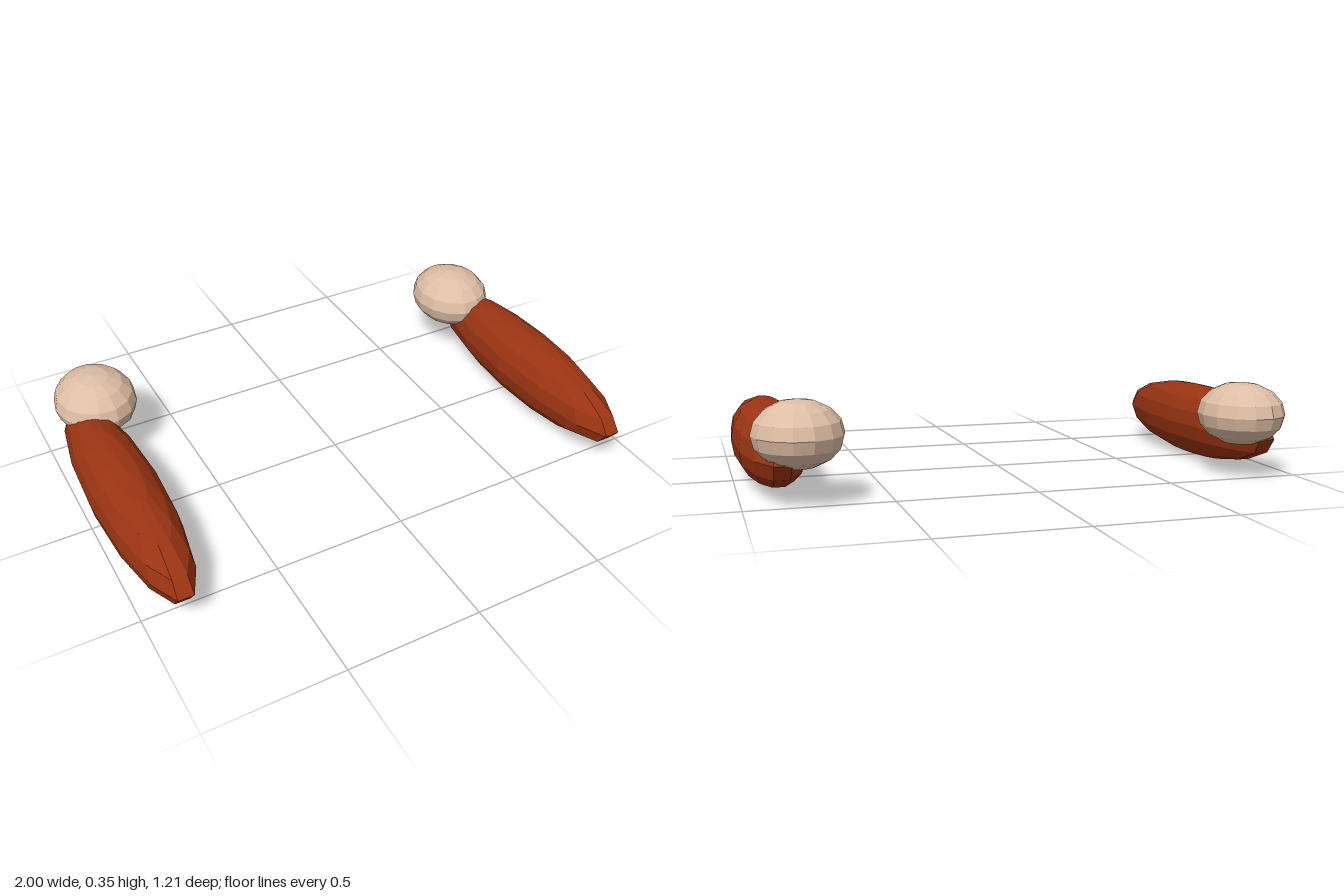
import * as THREE from 'three';

const brown = new THREE.MeshStandardMaterial({ color: 0x9a3412, flatShading: true });
brown.name = 'rust brown';
const skin = new THREE.MeshStandardMaterial({ color: 0xdebea5, flatShading: true });
skin.name = 'pale skin';

// Low-poly ellipsoid with the given radii and centre
function ellipsoid(name, material, radii, centre) {
  const geometry = new THREE.SphereGeometry(1, 14, 8);
  geometry.scale(...radii);
  const mesh = new THREE.Mesh(geometry, material);
  mesh.name = name;
  mesh.position.set(...centre);
  return mesh;
}

export function createModel() {
  const model = new THREE.Group();
  model.name = 'pairOfShoes';

  for (const [side, s] of [['left', 1], ['right', -1]]) {
    const foot = new THREE.Group();
    foot.name = side + 'Foot';
    // Long shoe, lying along z
    foot.add(ellipsoid(side + 'Shoe', brown, [0.13, 0.143, 0.58], [s * 0.87, 0.146, 0.04]));
    // Ankle resting on the heel, set slightly inwards
    foot.add(ellipsoid(side + 'Ankle', skin, [0.155, 0.116, 0.177], [s * 0.81, 0.235, -0.433]));
    model.add(foot);
  }
  return model;
}
